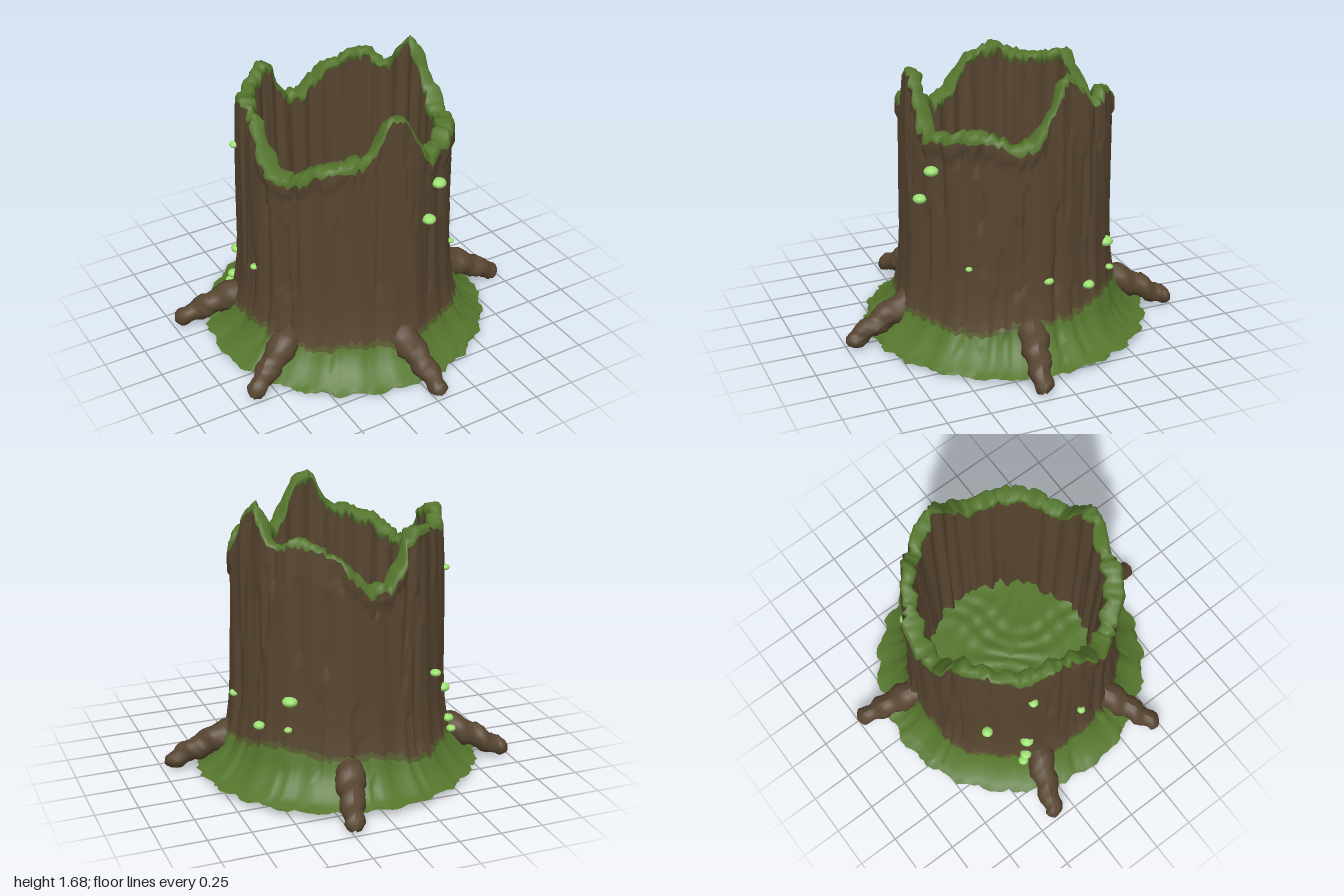
import * as THREE from 'three';

const SEG = 192, CX = -0.025, CZ = -0.014;
const bark = new THREE.MeshStandardMaterial({ name: 'bark', color: 0x574530 });
const moss = new THREE.MeshStandardMaterial({ name: 'moss', color: 0x55762d });
const mossyBark = new THREE.MeshStandardMaterial({ name: 'mossyBark', color: 0x565a2e });
const bud = new THREE.MeshStandardMaterial({ name: 'paleGreenBud', color: 0x9be070 });

// Broken rim: angle in degrees (0 = +x, 90 = front), height
const RIM = [[0, 1.45], [9, 1.36], [18, 1.32], [30, 1.39], [45, 1.39], [58, 1.35], [70, 1.35], [73, 1.39],
  [78, 1.5], [85, 1.61], [91, 1.65], [97, 1.62], [101, 1.53], [106, 1.44], [116, 1.42], [135, 1.38], [150, 1.27],
  [163, 1.3], [178, 1.5], [195, 1.57], [215, 1.5], [235, 1.54], [245, 1.57], [254, 1.4], [262, 1.27], [274, 1.29],
  [285, 1.4], [300, 1.49], [313, 1.55], [325, 1.45], [333, 1.55], [339, 1.63], [345, 1.68], [351, 1.62],
  [356, 1.53], [360, 1.45]];

const hash = (a, b = 0) => {
  const s = Math.sin(a * 127.1 + b * 311.7) * 43758.5453;
  return s - Math.floor(s) - 0.5;
};
const mix = THREE.MathUtils.lerp;
const angle = (i) => (i / SEG) * Math.PI * 2;

// Linear lookup in a table of [key, value] pairs
function lookup(table, key) {
  let i = 1;
  while (i < table.length - 1 && table[i][0] < key) i++;
  const [a, b] = [table[i - 1], table[i]];
  return mix(a[1], b[1], THREE.MathUtils.clamp((key - a[0]) / (b[0] - a[0]), 0, 1));
}

const rimY = (i) => lookup(RIM, (i / SEG) * 360) + 0.028 * hash(i, 3);

// Trunk radius flares towards the ground, with cracks and a torn lip under the low rim
const FLARE = [[0.04, 0.835], [0.08, 0.775], [0.13, 0.722], [0.2, 0.677], [0.3, 0.648], [0.42, 0.631], [0.6, 0.62], [1.3, 0.608], [1.7, 0.588]];
function barkRadius(i, y) {
  const t = angle(i), top = rimY(i);
  const wave = 0.007 * Math.sin(9 * t + 1) + 0.006 * Math.sin(23 * t + Math.sin(y * 3));
  const band = Math.floor(y * 2.2 + hash(i, 9));
  const crack = hash(i, band) > 0.4 ? -0.022 : 0;
  const lip = top < 1.43 && y > top - 0.11 - 0.05 * hash(i, 21) ? 0.018 : 0;
  return lookup(FLARE, y) + wave + crack + lip + 0.006 * hash(i, 5);
}

// Upper edge of the moss at the foot, higher towards the back left
const footY = (i) => {
  const t = angle(i);
  return 0.215 + 0.09 * Math.max(0, Math.cos(t + 0.75)) ** 2 + 0.015 * Math.sin(7 * t) + 0.035 * hash(i, 7);
};
const fringeY = (i) => footY(i) + 0.03 + 0.03 * hash(i, 23);
const rimMossY = (i) => rimY(i) - (rimY(i) < 1.43 ? 0.05 : 0.032) - 0.015 * Math.sin(i * 0.35) - 0.025 * hash(i, 11);
const innerMossY = (i) => rimY(i) - 0.06 - 0.05 * hash(i, 13);
const innerR = (i) => 0.528 + 0.012 * Math.sin(i * 0.9) + 0.014 * hash(i, 15);
const baseY = (i) => 0.045 - 0.012 * Math.sin(angle(i)) + 0.008 * hash(i, 17);
const baseR = (i) => 0.838 + 0.012 * Math.sin(i * 0.8) + 0.022 * hash(i, 19);
const bumps = (i, r) => {
  const x = r * Math.cos(angle(i)), z = r * Math.sin(angle(i));
  return 0.005 * Math.sin(31 * x + 4 * Math.sin(9 * z)) * Math.sin(27 * z + 3 * Math.sin(11 * x));
};

// Ring surface: at(i, v) gives [radius, y] for column i and v from 0 to 1
function ringSurface(name, material, rows, at) {
  const pos = [], idx = [];
  for (let j = 0; j <= rows; j++) {
    for (let i = 0; i < SEG; i++) {
      const [r, y] = at(i, j / rows);
      pos.push(CX + r * Math.cos(angle(i)), y, CZ + r * Math.sin(angle(i)));
    }
  }
  for (let j = 0; j < rows; j++) {
    for (let i = 0; i < SEG; i++) {
      const k = (i + 1) % SEG;
      const a = j * SEG + i, b = j * SEG + k, c = a + SEG, d = b + SEG;
      idx.push(a, c, b, b, c, d);
    }
  }
  const g = new THREE.BufferGeometry();
  g.setAttribute('position', new THREE.Float32BufferAttribute(pos, 3));
  g.setIndex(idx);
  g.computeVertexNormals();
  const mesh = new THREE.Mesh(g, material);
  mesh.name = name;
  return mesh;
}

// Knobbly tapering root from the trunk foot to a rounded tip on the ground
function root(x0, z0, x1, z1) {
  const n = 24, sides = 14;
  const p = (t, y) => new THREE.Vector3(mix(x0, x1, t), y, mix(z0, z1, t));
  const curve = new THREE.CatmullRomCurve3([p(-0.25, 0.225), p(0.1, 0.205), p(0.45, 0.152), p(0.8, 0.085), p(1, 0.045)]);
  const g = new THREE.TubeGeometry(curve, n, 1, sides, false);
  const pos = g.attributes.position, v = new THREE.Vector3();
  for (let i = 0; i <= n; i++) {
    const t = i / n, c = curve.getPointAt(t);
    const tip = Math.sqrt(Math.min(1, (1.003 - t) / 0.07));
    for (let j = 0; j <= sides; j++) {
      const k = i * (sides + 1) + j, s = j % sides;
      const knob = 0.01 * hash(i, s) + 0.008 * Math.sin(i * 0.9 + 2 * Math.sin((s / sides) * Math.PI * 2 + x0 * 9));
      const r = (mix(0.1, 0.046, t) + knob) * tip;
      v.fromBufferAttribute(pos, k).sub(c).multiplyScalar(r).add(c);
      pos.setXYZ(k, v.x, Math.max(0, v.y), v.z);
    }
  }
  g.computeVertexNormals();
  const mesh = new THREE.Mesh(g, bark);
  mesh.name = 'root';
  return mesh;
}

export function createModel() {
  const group = new THREE.Group();
  group.name = 'hollowStump';

  // Foot moss and its underside
  group.add(ringSurface('mossUnderside', moss, 24, (i, v) => [
    baseR(i) * v, mix(0.045, baseY(i), v) + (v < 1 ? bumps(i, v * 0.84) : 0)]));
  group.add(ringSurface('mossFoot', moss, 8, (i, v) => {
    const y = mix(baseY(i), footY(i), v ** 1.3);
    return [v === 0 ? baseR(i) : barkRadius(i, y), y];
  }));

  // Outer bark, with a faded mossy fringe at the bottom
  const wall = (low, high) => (i, v) => {
    const y = mix(low(i), high(i), v);
    return [barkRadius(i, y), y];
  };
  group.add(ringSurface('mossFringe', mossyBark, 2, wall(footY, fringeY)));
  group.add(ringSurface('barkWall', bark, 30, wall(fringeY, rimMossY)));

  // Moss folded over the broken rim
  group.add(ringSurface('mossRim', moss, 8, (i, v) => {
    const out = barkRadius(i, rimMossY(i));
    if (v <= 0.375) return [out - 0.02 * (v / 0.375) ** 2, mix(rimMossY(i), rimY(i), v / 0.375)];
    if (v <= 0.625) return [mix(out - 0.02, innerR(i), (v - 0.375) / 0.25), rimY(i) - 0.03 * (v - 0.375)];
    const w = (v - 0.625) / 0.375;
    return [innerR(i) - 0.012 * Math.sin(w * Math.PI), mix(rimY(i) - 0.01, innerMossY(i), w)];
  }));

  // Inner bark and mossy floor
  group.add(ringSurface('innerWall', bark, 16, (i, v) => [
    innerR(i) + v * (0.05 * hash(Math.floor(i / 2), 25) - 0.018), mix(innerMossY(i), 0.13, v)]));
  group.add(ringSurface('mossFloor', moss, 20, (i, v) => [
    0.54 * (1 - v), 0.15 + 2 * bumps(i, 0.54 * (1 - v))]));

  // Roots
  [[0.0, 0.63, 0.035, 1.0], [0.62, 0.09, 0.98, 0.175], [0.14, -0.64, 0.25, -1.0],
    [-0.62, -0.25, -0.985, -0.39], [-0.58, 0.3, -0.91, 0.48]].forEach((r) => group.add(root(...r)));

  // Little buds on the bark: x, y, z, radius
  const budShape = new THREE.SphereGeometry(1, 14, 8);
  [[0.26, 1.14, 0.545, 0.042], [0.175, 0.95, 0.585, 0.04], [0.455, 0.605, 0.405, 0.02], [0.602, 0.52, -0.012, 0.031],
    [0.545, 0.42, -0.29, 0.036], [0.42, 0.61, -0.455, 0.045], [0.44, 0.45, -0.475, 0.024], [-0.65, 0.59, 0.04, 0.024],
    [-0.59, 1.22, -0.28, 0.027], [-0.445, 0.67, -0.495, 0.032], [-0.585, 0.49, -0.31, 0.04],
    [-0.61, 0.3, -0.335, 0.034], [-0.62, 0.24, -0.36, 0.03]].forEach(([x, y, z, r]) => {
    const m = new THREE.Mesh(budShape, bud);
    m.name = 'bud';
    m.position.set(x, y, z);
    m.scale.set(r, r * 0.66, r);
    group.add(m);
  });
  return group;
}
